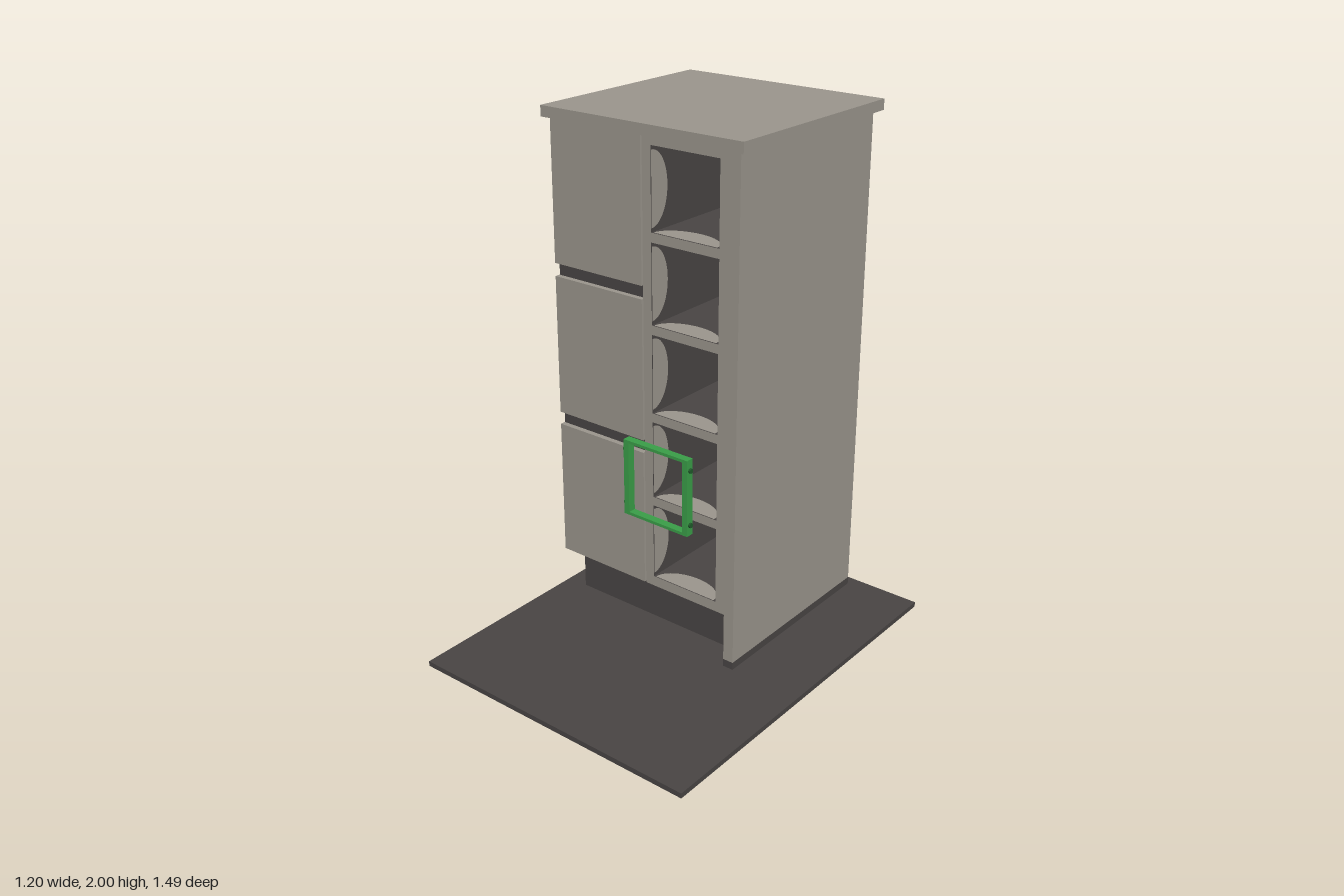
import * as THREE from 'three';

const mat = (name, color, extra = {}) => {
  const m = new THREE.MeshStandardMaterial({ color, ...extra });
  m.name = name;
  return m;
};

export function createModel() {
  const light = mat('warm grey', 0x9b968d);
  const dark = mat('charcoal', 0x494544);
  const green = mat('green', 0x3a9e48);
  const darkGreen = mat('dark green', 0x1f5a2a);
  const model = new THREE.Group();
  model.name = 'cabinet';

  const add = (parent, name, geometry, material) => {
    const mesh = new THREE.Mesh(geometry, material);
    mesh.name = name;
    parent.add(mesh);
    return mesh;
  };
  // Box given by its extents along each axis
  const box = (parent, name, material, [x0, x1], [y0, y1], [z0, z1]) => {
    const mesh = add(parent, name, new THREE.BoxGeometry(x1 - x0, y1 - y0, z1 - z0), material);
    mesh.position.set((x0 + x1) / 2, (y0 + y1) / 2, (z0 + z1) / 2);
    return mesh;
  };

  // Floor, plinth and outer panels
  box(model, 'floorSlab', dark, [-0.6, 0.6], [0, 0.02], [-0.745, 0.745]);
  box(model, 'plinth', dark, [-0.513, 0.27], [0.02, 0.24], [-0.7, -0.025]);
  box(model, 'sidePanelFoot', dark, [0.27, 0.313], [0.02, 0.05], [-0.7, 0.085]);
  box(model, 'sidePanel', light, [0.27, 0.313], [0.05, 1.96], [-0.7, 0.085]);
  box(model, 'backPanel', light, [-0.1, 0.27], [0.24, 1.96], [-0.7, -0.68]);
  box(model, 'countertop', light, [-0.513, 0.355], [1.96, 2], [-0.7, 0.13]);

  // Drawer carcass with a dark lining showing through the gaps
  box(model, 'drawerCarcass', light, [-0.513, -0.097], [0.24, 1.96], [-0.7, 0.06]);
  box(model, 'drawerGapLining', dark, [-0.511, -0.097], [0.242, 1.958], [0.06, 0.064]);
  [[0.24, 0.78], [0.83, 1.37], [1.42, 1.96]].forEach((y) =>
    box(model, 'drawerFront', light, [-0.513, -0.104], y, [0.064, 0.085]));

  // Column of open niches
  const niche = { x: 0.086, w: 0.29, h: 0.3 };
  const nicheY = [0, 1, 2, 3, 4].map((i) => 0.43 + i * 0.335);
  const rect = (Path, x0, x1, y0, y1) => new Path([
    new THREE.Vector2(x0, y0), new THREE.Vector2(x1, y0),
    new THREE.Vector2(x1, y1), new THREE.Vector2(x0, y1)]);
  const front = rect(THREE.Shape, -0.097, 0.27, 0.24, 1.96);
  nicheY.forEach((y) => front.holes.push(rect(THREE.Path,
    niche.x - niche.w / 2, niche.x + niche.w / 2, y - niche.h / 2, y + niche.h / 2)));
  const column = add(model, 'nicheColumn',
    new THREE.ExtrudeGeometry(front, { depth: 0.765, bevelEnabled: false }), [light, dark]);
  column.position.z = -0.68;
  box(model, 'nicheBack', dark, [-0.09, 0.26], [0.25, 1.95], [-0.68, -0.674]);

  // Pale half-round patches just inside each niche mouth
  const patch = new THREE.CircleGeometry(1, 24, 0, Math.PI);
  patch.rotateX(-Math.PI / 2).scale(0.135, 1, 0.085);
  nicheY.forEach((y) => {
    for (let k = 0; k < 4; k++) {
      const half = (k % 2 ? niche.w : niche.h) / 2 - 0.002;
      const a = k * Math.PI / 2;
      const p = add(model, 'nichePatch', patch, light);
      p.rotation.z = a;
      p.position.set(niche.x + Math.sin(a) * half, y - Math.cos(a) * half, 0.084);
    }
  });

  // Green frame floating in front of the second niche
  const frame = new THREE.Group();
  frame.name = 'greenFrame';
  frame.position.set(0.087, 0.765, 0.235);
  model.add(frame);
  const depth = [-0.015, 0.015];
  for (const s of [-1, 1]) {
    const span = (a, b) => (s > 0 ? [a, b] : [-b, -a]);
    box(frame, 'frameRail', green, [-0.142, 0.142], span(0.135, 0.146), depth);
    box(frame, 'frameSide', green, span(0.12, 0.142), [-0.135, 0.135], depth);
    for (const y of [-0.105, 0.105]) {
      const peg = add(frame, 'framePeg', new THREE.CylinderGeometry(0.009, 0.009, 0.012, 12), darkGreen);
      peg.rotation.z = Math.PI / 2;
      peg.position.set(s * 0.144, y, 0);
    }
  }
  return model;
}
